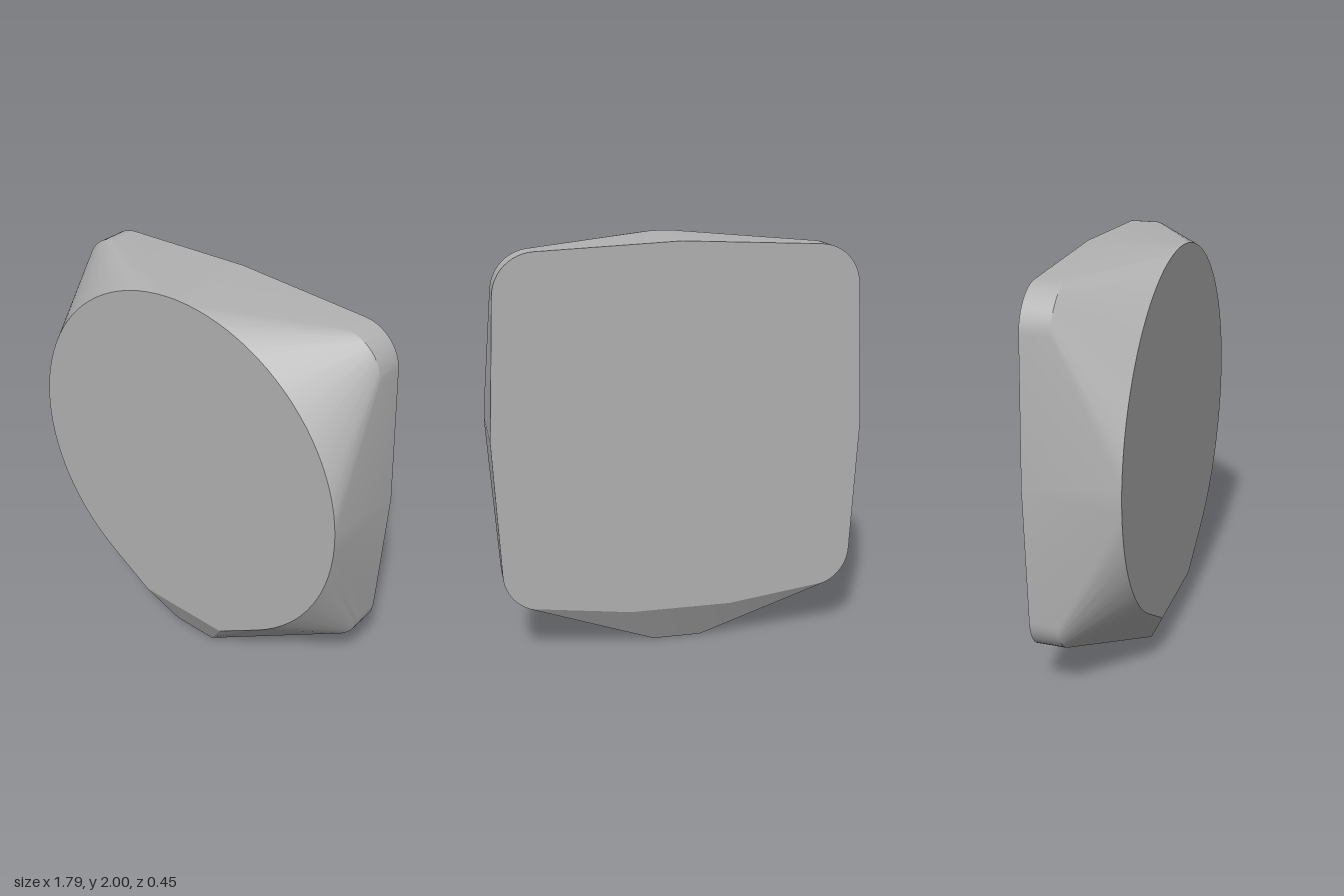
import * as THREE from 'three';
import { ConvexGeometry } from 'three/addons/geometries/ConvexGeometry.js';
import { toCreasedNormals } from 'three/addons/utils/BufferGeometryUtils.js';

const FRONT = 0.225, BACK = -0.225, SHOULDER = -0.085;

// Points along an arc in the xy plane, angles in degrees.
function arc(cx, cy, r, from, to, steps) {
  return Array.from({ length: steps + 1 }, (_, i) => {
    const a = THREE.MathUtils.degToRad(from + ((to - from) * i) / steps);
    return [cx + r * Math.cos(a), cy + r * Math.sin(a)];
  });
}

export function createModel() {
  const group = new THREE.Group();
  const grey = new THREE.MeshStandardMaterial({ color: 0xb2b2b2 });
  grey.name = 'grey';

  const points = [];
  const add = (x, y, z) => points.push(new THREE.Vector3(x, y, z));

  // Round front face
  for (const [x, y] of arc(0, 1.105, 0.895, 0, 356.25, 95)) add(x, y, FRONT);

  // Slightly bulging square back with rounded corners
  add(0, 2, BACK);
  for (const s of [-1, 1]) {
    add(s * 0.895, 1.105, BACK);
    const corners = [...arc(0.66, 1.77, 0.2, 2.5, 87.5, 12), ...arc(0.665, 0.45, 0.2, -2.5, -67, 10)];
    for (const [x, y] of corners) {
      add(s * x, y, BACK);
      add(s * x, y, SHOULDER);
    }
    // Tapered foot
    for (const d of [-1, 1]) {
      add(s * 0.25, 0.2, d * FRONT);
      add(s * 0.12, 0, d * 0.13);
    }
  }

  // The body is the skin stretched over these outlines
  const geometry = toCreasedNormals(new ConvexGeometry(points), THREE.MathUtils.degToRad(18));
  const body = new THREE.Mesh(geometry, grey);
  body.name = 'body';
  group.add(body);
  return group;
}
